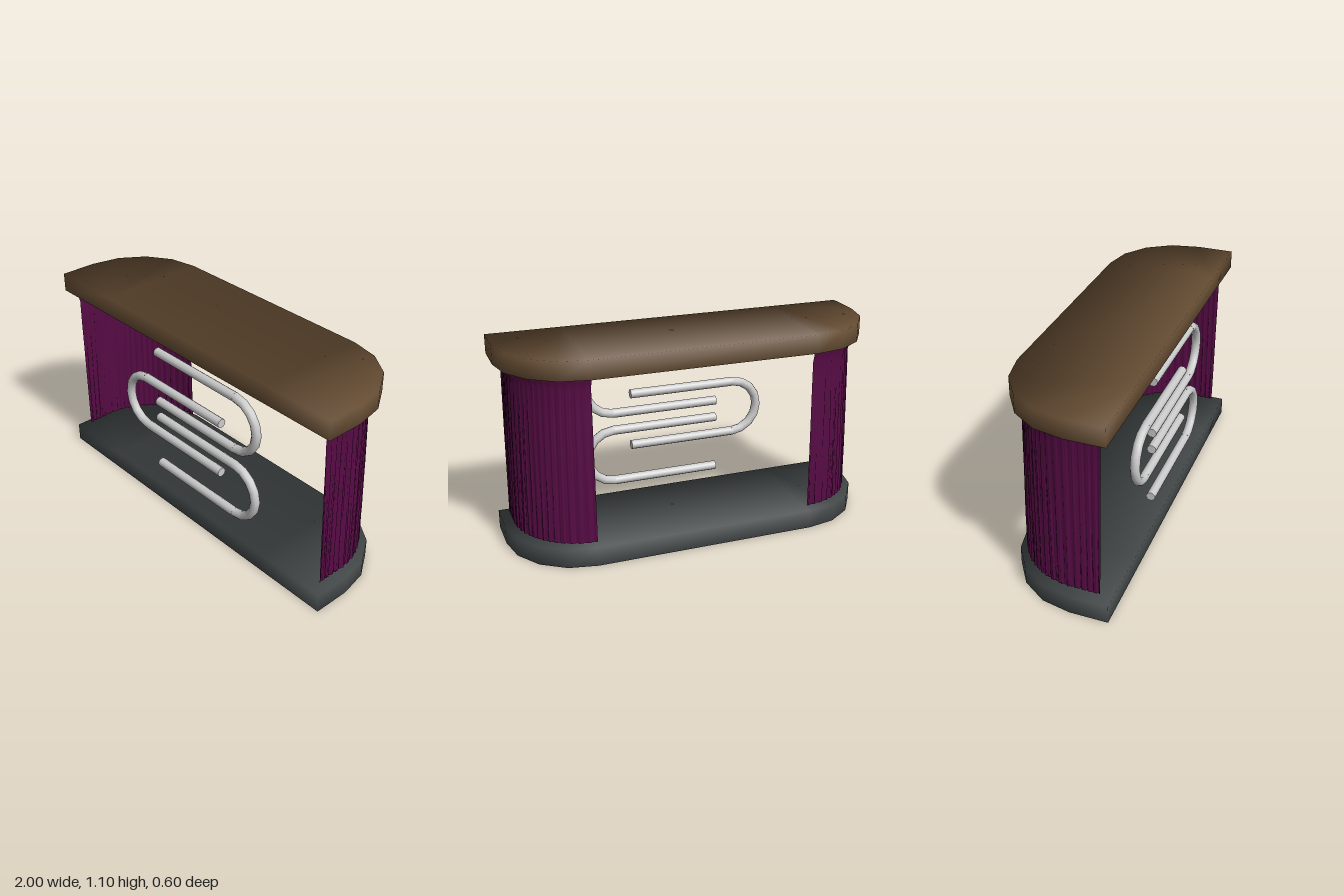
import * as THREE from 'three';

const material = (color, side = THREE.FrontSide) => new THREE.MeshStandardMaterial({ color, side });
const wood = material(0x6b5136);
const slate = material(0x464b4b);
const cloth = material(0x570b45, THREE.DoubleSide);
const metal = material(0xcccccc);

// D-shaped slab: straight front and rounded back corners, with normals that
// lean outward so the rim blends softly into the flat faces
function slab(name, y, mat) {
  // each outline point: x, z, outward direction x, z
  const outline = [[1, 0.3, 0.7, 0.7]];
  for (const side of [1, -1]) {
    for (let i = 0; i <= 4; i++) {
      const a = ((side > 0 ? i : 4 - i) / 4) * Math.PI / 2;
      const c = side * Math.cos(a), s = -Math.sin(a);
      outline.push([side * 0.6 + 0.4 * c, 0.1 + 0.4 * s, c, s]);
    }
  }
  outline.push([-1, 0.3, -0.7, 0.7], [-0.6, 0.3, 0, 1], [0.6, 0.3, 0, 1]);

  const n = outline.length;
  const lean = 0.35;
  const positions = outline.flatMap(([x, z]) => [x, 0, z, x, 0.1, z]);
  const normals = outline.flatMap(([, , nx, nz]) => [nx, -lean, nz, nx, lean, nz]);
  const low = (i) => 2 * (i % n);
  const high = (i) => low(i) + 1;
  const index = [];
  // rim
  for (let i = 0; i < n; i++) {
    index.push(low(i), low(i + 1), high(i + 1), low(i), high(i + 1), high(i));
  }
  // top and bottom: a fan for each end and a panel between them
  const flat = (a, b, c) => index.push(high(a), high(b), high(c), low(a), low(c), low(b));
  for (let i = 0; i < 5; i++) flat(13, i, i + 1);
  for (let i = 6; i < 11; i++) flat(12, i, i + 1);
  flat(13, 5, 6);
  flat(13, 6, 12);

  const geo = new THREE.BufferGeometry();
  geo.setAttribute('position', new THREE.Float32BufferAttribute(positions, 3));
  geo.setAttribute('normal', new THREE.Float32BufferAttribute(normals, 3));
  geo.setIndex(index);
  geo.normalizeNormals();
  const mesh = new THREE.Mesh(geo, mat);
  mesh.position.y = y;
  mesh.name = name;
  return mesh;
}

// Pleated curtain following the rounded end from the front to the back
function curtain(name, side) {
  const columns = 120;
  const straight = 0.22;
  // height, distance from the end's axis, front edge, pleat depth
  const rows = [
    [1, 0.35, 0.26, 0], [0.975, 0.347, 0.257, 0.001], [0.94, 0.336, 0.25, 0.003], [0.8, 0.339, 0.249, 0.004],
    [0.6, 0.343, 0.247, 0.005], [0.35, 0.347, 0.245, 0.006], [0.12, 0.35, 0.242, 0.007],
  ];
  const geo = new THREE.PlaneGeometry(1, 1, columns, rows.length - 1);
  const pos = geo.attributes.position;
  for (let i = 0; i < pos.count; i++) {
    const row = Math.floor(i / (columns + 1));
    const [y, radius, front, depth] = rows[row];
    const t = (i % (columns + 1)) / columns;
    // irregular folds that shift a little with the height
    const fold = 0.5 * Math.sin(t * 121 + row * 0.4 + 2 * Math.sin(t * 11)) + 0.5 * Math.sin(t * 263 + 1.7 * Math.sin(t * 19 + row));
    const r = radius + depth * fold;
    if (t < straight) {
      pos.setXYZ(i, side * (0.6 + r), y, front + (0.1 - front) * t / straight);
    } else {
      const a = ((t - straight) / (1 - straight)) * Math.PI / 2;
      pos.setXYZ(i, side * (0.592 + (r + 0.008) * Math.cos(a)), y, 0.1 - (r + 0.015) * Math.sin(a));
    }
  }
  geo.computeVertexNormals();
  const mesh = new THREE.Mesh(geo, cloth);
  mesh.name = name;
  return mesh;
}

// U-shaped rail: two bars joined by a half ring
function rail(name, y, side) {
  const group = new THREE.Group();
  group.name = name;
  for (const dy of [-0.15, 0.15]) {
    const bar = new THREE.Mesh(new THREE.CylinderGeometry(0.025, 0.025, 0.6, 10), metal);
    bar.rotation.z = Math.PI / 2;
    bar.position.set(0.05, dy, 0);
    bar.name = 'railBar';
    group.add(bar);
  }
  const bend = new THREE.Mesh(new THREE.TorusGeometry(0.15, 0.025, 10, 8, Math.PI), metal);
  bend.rotation.z = -Math.PI / 2;
  bend.position.x = 0.35;
  bend.name = 'railBend';
  group.add(bend);
  group.position.set(0, y, 0.25);
  if (side < 0) group.rotation.z = Math.PI;
  return group;
}

export function createModel() {
  const model = new THREE.Group();
  model.name = 'counter';
  model.add(slab('base', 0, slate), slab('counterTop', 1, wood));
  model.add(curtain('leftCurtain', 1), curtain('rightCurtain', -1));
  model.add(rail('upperRail', 0.75, 1), rail('lowerRail', 0.35, 1), rail('middleRail', 0.55, -1));
  return model;
}
